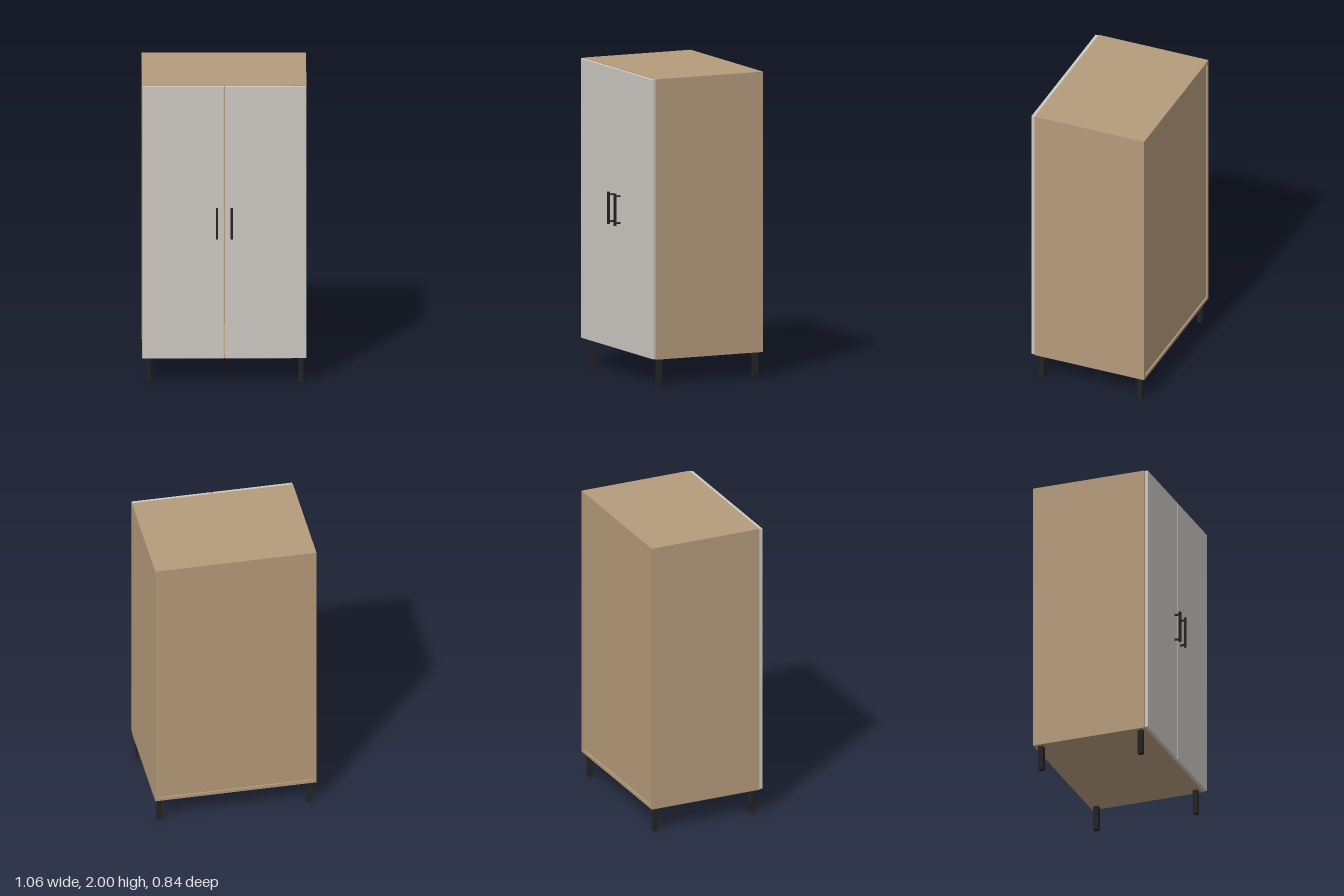
import * as THREE from 'three';
import { RoundedBoxGeometry } from 'three/addons/geometries/RoundedBoxGeometry.js';

export function createModel() {
  const model = new THREE.Group();
  model.name = 'wardrobe';
  const wood = new THREE.MeshStandardMaterial({ color: 0xb59b7b });
  const paint = new THREE.MeshStandardMaterial({ color: 0xcdc9c3 });
  const black = new THREE.MeshStandardMaterial({ color: 0x222322 });

  const W = 0.532, BOTTOM = 0.165, TOP = 2, BACK = -0.42, FRONT = 0.352, T = 0.022;

  function add(parent, name, geometry, material, x, y, z) {
    const mesh = new THREE.Mesh(geometry, material);
    mesh.name = name;
    mesh.position.set(x, y, z);
    parent.add(mesh);
    return mesh;
  }
  const box = (w, h, d) => new THREE.BoxGeometry(w, h, d);

  // Carcass: sides, top and bottom as one hollow frame
  const rect = (Kind, x, y0, y1) => new Kind([
    new THREE.Vector2(-x, y0), new THREE.Vector2(x, y0),
    new THREE.Vector2(x, y1), new THREE.Vector2(-x, y1),
  ]);
  const frame = rect(THREE.Shape, W, BOTTOM, TOP);
  frame.holes.push(rect(THREE.Path, W - T, BOTTOM + T, TOP - T));
  add(model, 'carcass',
    new THREE.ExtrudeGeometry(frame, { depth: FRONT - BACK, bevelEnabled: false }),
    wood, 0, 0, BACK);

  // Back panel, set slightly into the frame
  add(model, 'backPanel', box(2 * (W - T), TOP - BOTTOM - 2 * T, 0.012), wood,
    0, (TOP + BOTTOM) / 2, BACK + 0.016);

  for (const side of [1, -1]) {
    const label = side > 0 ? 'left' : 'right';

    // Door with softly eased edges
    const inner = 0.003, outer = W - 0.002;
    add(model, label + 'Door',
      new RoundedBoxGeometry(outer - inner, TOP - BOTTOM - 0.006, 0.022, 2, 0.002),
      paint, side * (inner + outer) / 2, (TOP + BOTTOM) / 2, 0.364);

    // Bar handle on two posts
    const handle = new THREE.Group();
    handle.name = label + 'Handle';
    handle.position.set(side * 0.048, 1.085, 0);
    add(handle, 'bar', box(0.015, 0.21, 0.014), black, 0, 0, 0.411);
    for (const end of [1, -1]) {
      add(handle, 'post', box(0.01, 0.01, 0.032), black, 0, end * 0.088, 0.39);
    }
    model.add(handle);

    // Square legs
    for (const [end, z] of [['Front', 0.312], ['Back', -0.378]]) {
      add(model, label + end + 'Leg', box(0.034, BOTTOM, 0.034), black,
        side * 0.494, BOTTOM / 2, z);
    }
  }
  return model;
}
